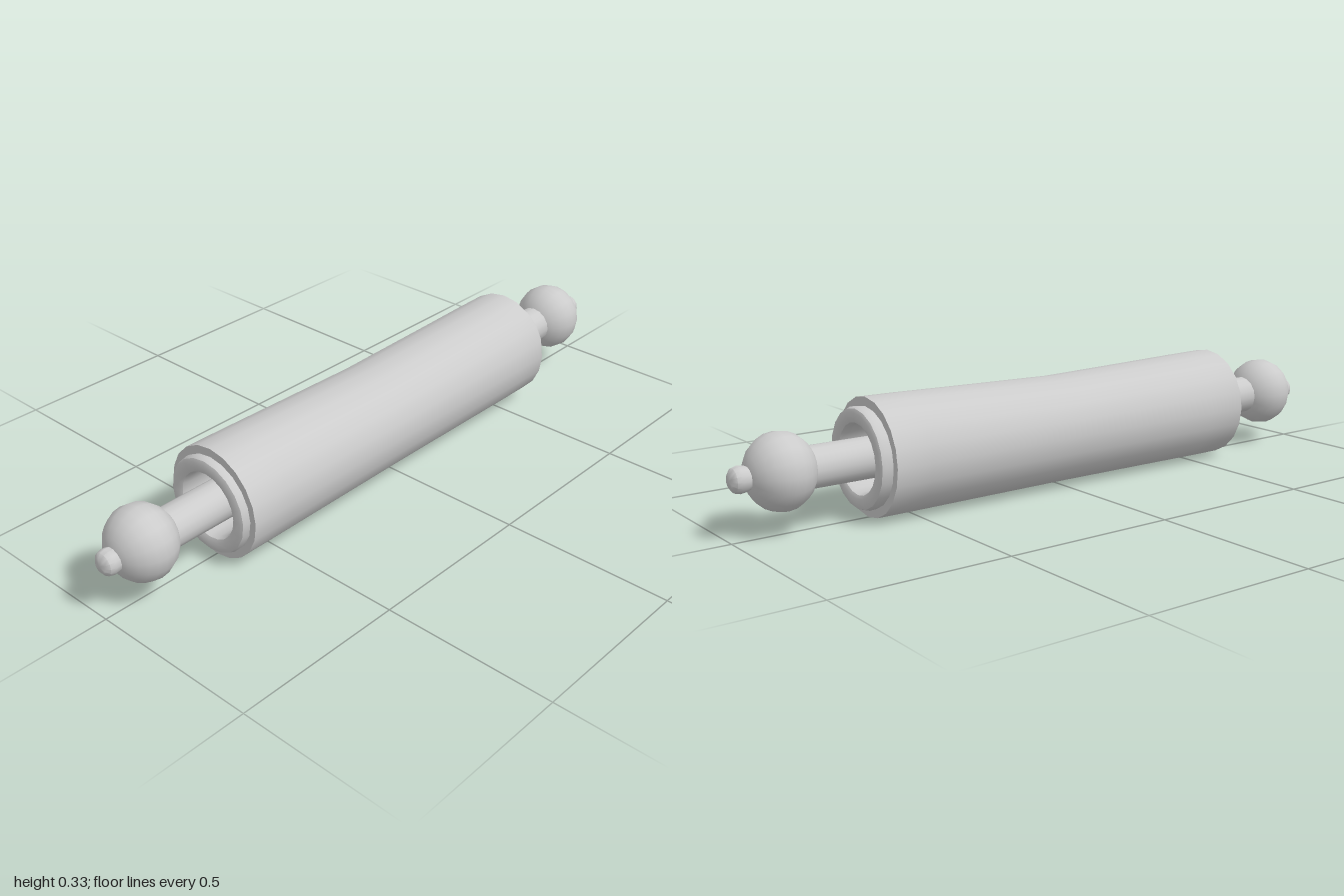
import * as THREE from 'three';
import { toCreasedNormals } from 'three/addons/utils/BufferGeometryUtils.js';

const AXIS_Y = 0.165;

export function createModel() {
  const group = new THREE.Group();
  const material = new THREE.MeshStandardMaterial({ color: 0xcccccc, side: THREE.DoubleSide });

  // Turns a [x, radius] profile around the x axis
  function turned(name, profile, sides) {
    const points = profile.map(([x, r]) => new THREE.Vector2(r, x));
    const geometry = new THREE.LatheGeometry(points, sides).rotateZ(-Math.PI / 2);
    const mesh = new THREE.Mesh(toCreasedNormals(geometry, 0.7), material);
    mesh.name = name;
    mesh.position.y = AXIS_Y;
    group.add(mesh);
    return mesh;
  }

  // Barrel, with its upper side worn slightly hollow in the middle
  const barrel = turned('barrel', [
    [-0.628, 0.134], [-0.628, 0.159], [-0.5, 0.159], [-0.3, 0.158], [-0.02, 0.157],
    [0.3, 0.158], [0.5, 0.159], [0.61, 0.159], [0.61, 0.134],
  ], 20);
  const p = barrel.geometry.attributes.position;
  for (let i = 0; i < p.count; i++) {
    const y = p.getY(i) * 1.03;
    const wear = 1 - Math.min(1, Math.abs(p.getX(i) + 0.02) / 0.6);
    p.setY(i, y > 0 ? y * (1 - 0.08 * wear) : y);
  }
  barrel.geometry = toCreasedNormals(barrel.geometry, 0.7);

  for (const [side, s, shift] of [['left', 1, 0], ['right', -1, 0.009]]) {
    // Mirrors a profile to the given end, keeping it running towards +x
    const atEnd = (profile) => {
      const moved = profile.map(([x, r]) => [s * (x + shift), r]);
      return s > 0 ? moved : moved.reverse();
    };

    // Rounded end collar with a recess around the handle
    turned(side + 'Collar', atEnd([
      [0.6, 0.138], [0.63, 0.14], [0.641, 0.136], [0.645, 0.126],
      [0.645, 0.108], [0.64, 0.098], [0.628, 0.093], [0.53, 0.09], [0.53, 0],
    ]), 20);

    // Handle shaft
    turned(side + 'HandleShaft', atEnd([[0.53, 0.057], [0.8, 0.057]]), 16);

    // Ball grip
    const ball = new THREE.Mesh(
      new THREE.SphereGeometry(1, 16, 12).rotateZ(-Math.PI / 2), material);
    ball.name = side + 'HandleBall';
    ball.scale.set(0.094, 0.105, 0.102);
    ball.position.set(s * (0.86 + shift), AXIS_Y + 0.002, 0);
    group.add(ball);

    // Small rounded tip
    const knob = turned(side + 'HandleTip', atEnd([
      [0.94, 0.028], [0.957, 0.034], [0.973, 0.036], [0.988, 0.032], [0.997, 0.02], [1, 0],
    ].map(([x, r]) => [x - shift, r])), 14);
    knob.position.y = AXIS_Y - 0.002;
  }

  return group;
}
